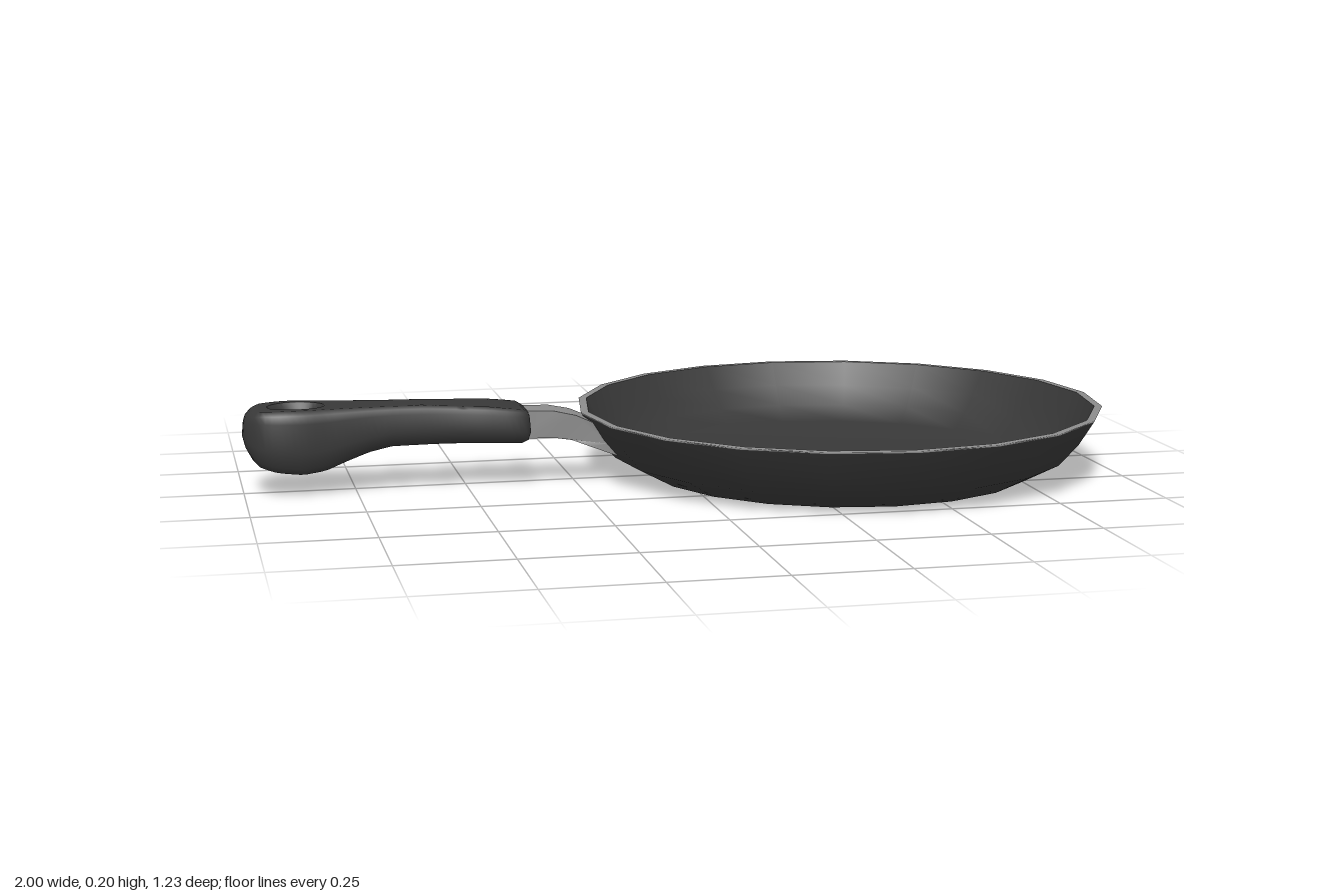
import * as THREE from 'three';
import { toCreasedNormals } from 'three/addons/utils/BufferGeometryUtils.js';

const coating = new THREE.MeshStandardMaterial({ color: 0x383838 });
coating.name = 'black coating';
const metal = new THREE.MeshStandardMaterial({ color: 0x8c8c8c });
metal.name = 'grey metal';

const PAN_X = 0.385, SIDES = 20;
const HOLE_X = -0.88;

// Piecewise linear lookup in a list of [x, value]
function lookup(table, x) {
  if (x <= table[0][0]) return table[0][1];
  for (let i = 1; i < table.length; i++) {
    const [x0, v0] = table[i - 1], [x1, v1] = table[i];
    if (x <= x1) return v0 + (v1 - v0) * (x - x0) / (x1 - x0);
  }
  return table[table.length - 1][1];
}

function addMesh(group, name, geometry, material) {
  const mesh = new THREE.Mesh(geometry, material);
  mesh.name = name;
  group.add(mesh);
  return mesh;
}

function turned(group, name, profile, material) {
  const points = profile.map(([r, y]) => new THREE.Vector2(r, y));
  addMesh(group, name, new THREE.LatheGeometry(points, SIDES), material).position.x = PAN_X;
}

// Grip: section loops running around the hanging hole, out to the plan outline
function gripGeometry() {
  const half = [[-0.995, 0.035], [-0.97, 0.068], [-0.93, 0.083], [-0.88, 0.086], [-0.8, 0.075],
    [-0.7, 0.063], [-0.6, 0.06], [-0.53, 0.064], [-0.45, 0.076], [-0.385, 0.078], [-0.36, 0.07], [-0.354, 0.04]];
  const plan = [[-1, 0], ...half, [-0.354, 0], ...half.map(([x, z]) => [x, -z]).reverse()];
  const outline = new THREE.CatmullRomCurve3(plan.map(([x, z]) => new THREE.Vector3(x, 0, z)), true);
  const top = [[-1, 0.175], [-0.985, 0.188], [-0.96, 0.194], [-0.9, 0.196], [-0.6, 0.193], [-0.45, 0.186], [-0.36, 0.176]];
  const bottom = [[-1, 0.11], [-0.985, 0.085], [-0.965, 0.068], [-0.93, 0.057], [-0.87, 0.05], [-0.82, 0.056],
    [-0.77, 0.075], [-0.72, 0.092], [-0.67, 0.102], [-0.5, 0.104], [-0.36, 0.1]];
  const holeWall = [[0.014, 0], [0.004, 0.08], [0, 0.3], [0, 0.7], [0.005, 0.92], [0.014, 1]];
  const outerWall = [[0.018, 1], [0.007, 0.93], [0.003, 0.8], [0, 0.35], [0.006, 0.1], [0.02, 0]];
  const N = 96, STEPS = 8, positions = [], index = [];
  let rows = 0;
  for (let i = 0; i < N; i++) {
    const p = outline.getPointAt(i / N), t = outline.getTangentAt(i / N);
    const angle = Math.atan2(p.z, p.x - HOLE_X);
    const hole = e => [HOLE_X + (0.05 + e) * Math.cos(angle), (0.034 + e) * Math.sin(angle)];
    const edge = d => [p.x + t.z * d, p.z - t.x * d];
    const loop = holeWall.map(([e, h]) => [...hole(e), h]);
    const across = (from, to, h) => {
      for (let k = 1; k < STEPS; k++) {
        const s = k / STEPS;
        loop.push([from[0] + (to[0] - from[0]) * s, from[1] + (to[1] - from[1]) * s, h]);
      }
    };
    across(hole(0.014), edge(0.018), 1);
    outerWall.forEach(([d, h]) => loop.push([...edge(d), h]));
    across(edge(0.02), hole(0.014), 0);
    rows = loop.length;
    for (const [x, z, h] of loop) {
      const y0 = lookup(bottom, x), y1 = lookup(top, x);
      positions.push(x, y0 + (y1 - y0) * h, z);
    }
  }
  for (let i = 0; i < N; i++) for (let j = 0; j < rows; j++) {
    const i2 = (i + 1) % N, j2 = (j + 1) % rows;
    const a = i * rows + j, b = i * rows + j2, c = i2 * rows + j2, d = i2 * rows + j;
    index.push(a, b, c, a, c, d);
  }
  const geometry = new THREE.BufferGeometry();
  geometry.setAttribute('position', new THREE.Float32BufferAttribute(positions, 3));
  geometry.setIndex(index);
  return toCreasedNormals(geometry, 0.9);
}

// Shank: curved side profile, widening towards the pan
function shankGeometry() {
  const side = [[-0.38, 0.106], [-0.3, 0.106], [-0.26, 0.1], [-0.22, 0.085], [-0.155, 0.06], [-0.18, 0.09],
    [-0.205, 0.128], [-0.212, 0.14], [-0.25, 0.157], [-0.3, 0.168], [-0.38, 0.171]];
  const shape = new THREE.Shape(side.map(([x, y]) => new THREE.Vector2(x, y)));
  const geometry = new THREE.ExtrudeGeometry(shape, { depth: 2, bevelEnabled: false });
  geometry.translate(0, 0, -1);
  const pos = geometry.attributes.position;
  const width = [[-0.36, 0.037], [-0.28, 0.044], [-0.21, 0.056]];
  for (let i = 0; i < pos.count; i++) pos.setZ(i, pos.getZ(i) * lookup(width, pos.getX(i)));
  return toCreasedNormals(geometry, 0.6);
}

export function createModel() {
  const model = new THREE.Group();
  model.name = 'fryingPan';

  // Pan body
  turned(model, 'panOutside', [[0, 0], [0.45, 0], [0.535, 0.045], [0.58, 0.097], [0.613, 0.151]], coating);
  turned(model, 'panRim', [[0.613, 0.151], [0.615, 0.155], [0.597, 0.155]], metal);
  turned(model, 'panInside', [[0.597, 0.155], [0.563, 0.1], [0.525, 0.055], [0.48, 0.02], [0, 0.02]], coating);

  // Handle
  const handle = new THREE.Group();
  handle.name = 'handle';
  addMesh(handle, 'shank', shankGeometry(), metal);
  addMesh(handle, 'grip', gripGeometry(), coating);
  model.add(handle);
  return model;
}
